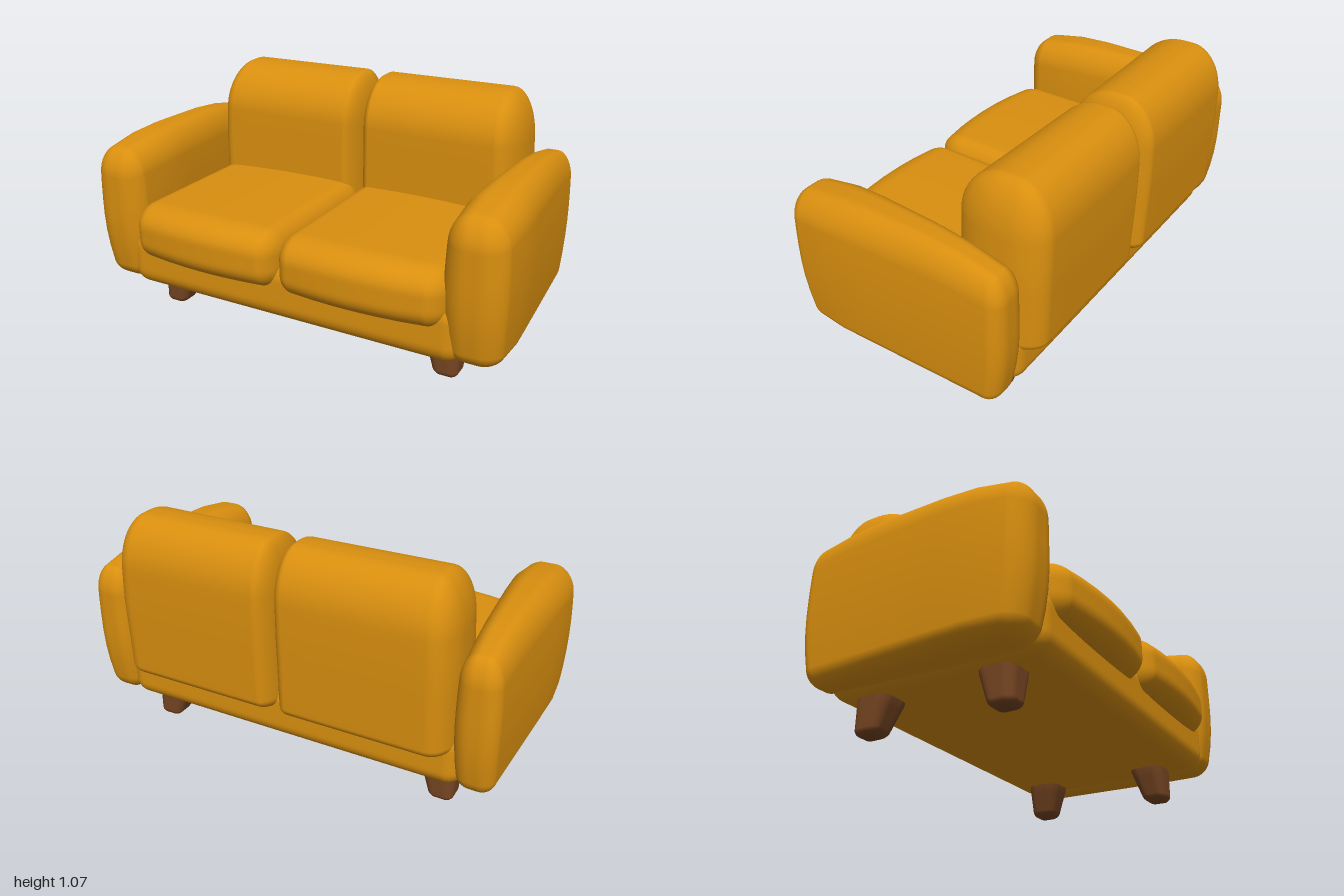
import * as THREE from 'three';
import { mergeVertices } from 'three/addons/utils/BufferGeometryUtils.js';

const { clamp, lerp } = THREE.MathUtils;
const N = 6; // grid steps in each rounded corner and in each flat middle

// Upholstered box from corner lo to corner hi. rLo and rHi are the rounding
// depths [x, y, z] on the low and high sides; warp(v) then shapes each point.
function softBox(lo, hi, rLo, rHi, warp) {
  let geo = new THREE.BoxGeometry(2, 2, 2, 3 * N, 3 * N, 3 * N);
  geo.deleteAttribute('uv');
  geo.deleteAttribute('normal');
  const pos = geo.attributes.position;
  const v = new THREE.Vector3();
  for (let i = 0; i < pos.count; i++) {
    v.fromBufferAttribute(pos, i);
    const core = [], dir = [], rad = [];
    for (let a = 0; a < 3; a++) {
      const t = (v.getComponent(a) + 1) * 1.5; // 0..1 low corner, 1..2 middle, 2..3 high corner
      core[a] = lerp(lo[a] + rLo[a], hi[a] - rHi[a], clamp(t - 1, 0, 1));
      const out = t < 1 ? t - 1 : Math.max(t - 2, 0);
      dir[a] = Math.tan(out * Math.PI / 4);
      rad[a] = out < 0 ? rLo[a] : rHi[a];
    }
    const len = Math.hypot(...dir) || 1;
    v.set(...core.map((c, a) => c + dir[a] / len * rad[a]));
    if (warp) warp(v);
    pos.setXYZ(i, v.x, v.y, v.z);
  }
  geo = mergeVertices(geo, 1e-5);
  geo.computeVertexNormals();
  return geo;
}

// Mirrored copy across the given axis, with the corner order put right
function mirrored(source, x, z) {
  const geo = source.clone().scale(x, 1, z);
  if (x * z < 0) {
    const idx = geo.index.array;
    for (let i = 0; i < idx.length; i += 3) [idx[i], idx[i + 1]] = [idx[i + 1], idx[i]];
  }
  geo.computeVertexNormals();
  return geo;
}

export function createModel() {
  const sofa = new THREE.Group();
  sofa.name = 'sofa';
  const fabric = new THREE.MeshStandardMaterial({ color: 0xd98f0f });
  fabric.name = 'mustard fabric';
  const wood = new THREE.MeshStandardMaterial({ color: 0x764522 });
  wood.name = 'brown wood';

  const add = (name, geo, mat) => {
    const mesh = new THREE.Mesh(geo, mat);
    mesh.name = name;
    sofa.add(mesh);
  };
  const addPair = (name, geo) => {
    add('left' + name, geo, fabric);
    add('right' + name, mirrored(geo, -1, 1), fabric);
  };

  // Base frame under the cushions
  add('base', softBox([-0.82, 0.155, -0.5], [0.82, 0.42, 0.5],
    [0.08, 0.08, 0.09], [0.08, 0.08, 0.07]), fabric);

  // Seat cushions with a crowned front edge
  addPair('SeatCushion', softBox([0, 0.3, -0.3], [0.765, 0.572, 0.585],
    [0.08, 0.1, 0.1], [0.09, 0.1, 0.13], v => {
      const u = (v.x - 0.34) / 0.42;
      if (v.z > 0) v.z -= 0.05 * u * u * v.z / 0.585;
      if (v.y > 0.45) v.y -= 0.015 * u * u;
    }));

  // Back cushions with a big round top
  addPair('BackCushion', softBox([0, 0.3, -0.585], [0.785, 1.07, -0.17],
    [0.07, 0.07, 0.15], [0.1, 0.22, 0.22], v => {
      const up = clamp((v.y - 0.7) / 0.37, 0, 1);
      v.x -= 0.02 * up * v.x / 0.785;
      v.z -= 0.02 * (1 - v.x / 0.785) * clamp((v.z + 0.5) / 0.33, 0, 1);
      if (v.z < -0.4) v.z += 0.015 * clamp((0.7 - v.y) / 0.4, 0, 1);
    }));

  // Arms: plump at the front, slimmer toward the back, sloping at both ends
  addPair('Arm', softBox([-1, 0.16, -0.53], [1, 0.838, 0.525],
    [0.75, 0.07, 0.06], [0.75, 0.13, 0.08], v => {
      const t = clamp((v.z + 0.53) / 0.9, 0, 1);
      const tip = clamp((v.z - 0.25) / 0.275, 0, 1);
      const h = (v.y - 0.5) / 0.34;
      const half = lerp(0.088, 0.147, t) * (1 - 0.14 * h * h) * (1 - 0.22 * tip * tip);
      v.x = lerp(0.868, 0.855, t) + v.x * half;
      const end = clamp((Math.abs(v.z) - 0.12) / 0.4, 0, 1);
      if (h > 0) v.y -= 0.055 * end * end * h;
      else v.z *= 1 - 0.09 * h * h;
    }));

  // Tapered legs, each leaning its taper toward the middle of the sofa
  const leg = softBox([0.6, 0, 0.18], [0.76, 0.22, 0.345],
    [0.05, 0.03, 0.05], [0.05, 0.02, 0.05], v => {
      const s = lerp(0.66, 1, clamp(v.y / 0.155, 0, 1));
      v.x = 0.745 + (v.x - 0.745) * s;
      v.z = 0.335 + (v.z - 0.335) * s;
    });
  const rearLeg = leg.clone().translate(0, 0, 0.045);
  for (const [side, x] of [['left', 1], ['right', -1]]) {
    add(side + 'FrontLeg', mirrored(leg, x, 1), wood);
    add(side + 'RearLeg', mirrored(rearLeg, x, -1), wood);
  }
  return sofa;
}
